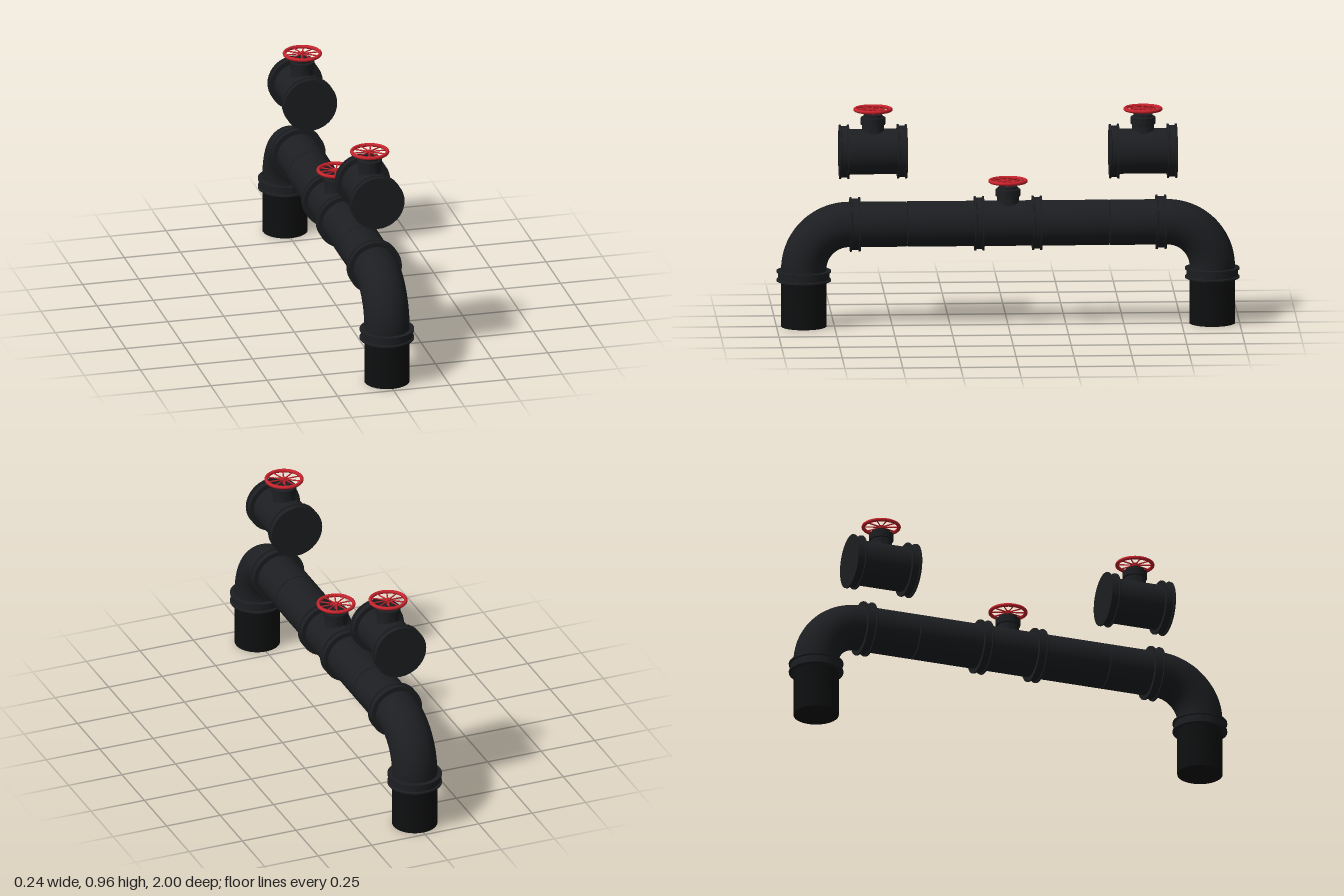
import * as THREE from 'three';
import { toCreasedNormals } from 'three/addons/utils/BufferGeometryUtils.js';

const iron = new THREE.MeshStandardMaterial({ color: 0x1c1e21 });
const darkIron = new THREE.MeshStandardMaterial({ color: 0x0e0f10 });
const red = new THREE.MeshStandardMaterial({ color: 0xc8232c });

const R = 0.098;      // pipe radius
const RIM = 0.118;    // collar rim radius
const AXIS = 0.445;   // height of the horizontal run
const BEND = 0.195;   // elbow bend radius

function add(parent, name, geometry, material = iron) {
  const mesh = new THREE.Mesh(geometry, material);
  mesh.name = name;
  parent.add(mesh);
  return mesh;
}

// Turned part from [radius, height] pairs, listed bottom to top
function turned(profile, sides = 40) {
  const points = profile.map(([r, y]) => new THREE.Vector2(r, y));
  return toCreasedNormals(new THREE.LatheGeometry(points, sides), 0.6);
}

// Collar profile: two thin rims with a recessed band between them
function collarProfile(y, h = 0.045) {
  return [[RIM, y], [RIM, y + 0.007], [0.111, y + 0.009],
    [0.111, y + h - 0.009], [RIM, y + h - 0.007], [RIM, y + h]];
}

const collar = (y) => turned([[0, y], ...collarProfile(y), [0, y + 0.045]]);
const pipe = (from, to) => turned([[0, from], [R, from], [R, to], [0, to]]);

function createHandwheel() {
  const wheel = new THREE.Group();
  wheel.name = 'handwheel';
  add(wheel, 'wheelRim', new THREE.TorusGeometry(0.077, 0.008, 10, 40).rotateX(Math.PI / 2), red);
  add(wheel, 'wheelHub', new THREE.CylinderGeometry(0.012, 0.012, 0.012, 16), red);
  const spokes = 10;
  for (let i = 0; i < spokes; i++) {
    const spoke = new THREE.CylinderGeometry(0.003, 0.003, 0.07, 6)
      .rotateZ(Math.PI / 2).translate(0.041, 0, 0).rotateY(i / spokes * Math.PI * 2);
    add(wheel, 'wheelSpoke', spoke, red);
  }
  return wheel;
}

function createValve(name, y, z) {
  const valve = new THREE.Group();
  valve.name = name;
  valve.position.set(0, y, z);

  // Body with a collar at both ends, lying along z
  const body = turned([[0, -0.146], ...collarProfile(-0.146, 0.042), [R, -0.104],
    [R, 0.104], ...collarProfile(0.104, 0.042), [0, 0.146]]);
  add(valve, 'valveBody', body.rotateX(Math.PI / 2));

  // Bonnet, stem and wheel
  add(valve, 'bonnet', turned([[0.054, 0.06], [0.048, 0.1], [0.047, 0.118], [0.053, 0.12],
    [0.053, 0.15], [0.049, 0.153], [0.041, 0.153], [0.041, 0.162], [0, 0.162]], 32));
  add(valve, 'stem', new THREE.CylinderGeometry(0.006, 0.006, 0.04, 12), red).position.y = 0.173;
  const wheel = createHandwheel();
  wheel.position.y = 0.185;
  valve.add(wheel);
  return valve;
}

// Half of the pipe run: straight pipes, elbow and leg
function createRun(name) {
  const run = new THREE.Group();
  run.name = name;
  const legZ = 0.882, bendZ = legZ - BEND, bendY = AXIS - BEND;

  const lying = (part, geometry, material) => {
    add(run, part, geometry.rotateX(Math.PI / 2), material).position.y = AXIS;
  };
  lying('innerPipe', pipe(0.13, 0.435));
  lying('outerPipe', pipe(0.439, bendZ));
  lying('elbowCollar', collar(0.638));

  const elbow = new THREE.TorusGeometry(BEND, R, 40, 28, Math.PI / 2).rotateY(-Math.PI / 2);
  add(run, 'elbow', elbow).position.set(0, bendY, bendZ);
  add(run, 'legCollar', collar(0.2)).position.z = legZ;
  add(run, 'elbowEnd', pipe(0.24, bendY)).position.z = legZ;
  add(run, 'leg', pipe(0, 0.21), darkIron).position.z = legZ;
  return run;
}

export function createModel() {
  const model = new THREE.Group();
  model.name = 'pipeline';

  const backRun = createRun('backRun');
  backRun.rotation.y = Math.PI;
  model.add(createRun('frontRun'), backRun);

  model.add(
    createValve('centreValve', AXIS, 0),
    createValve('frontValve', 0.764, 0.583),
    createValve('backValve', 0.757, -0.583),
  );
  return model;
}
